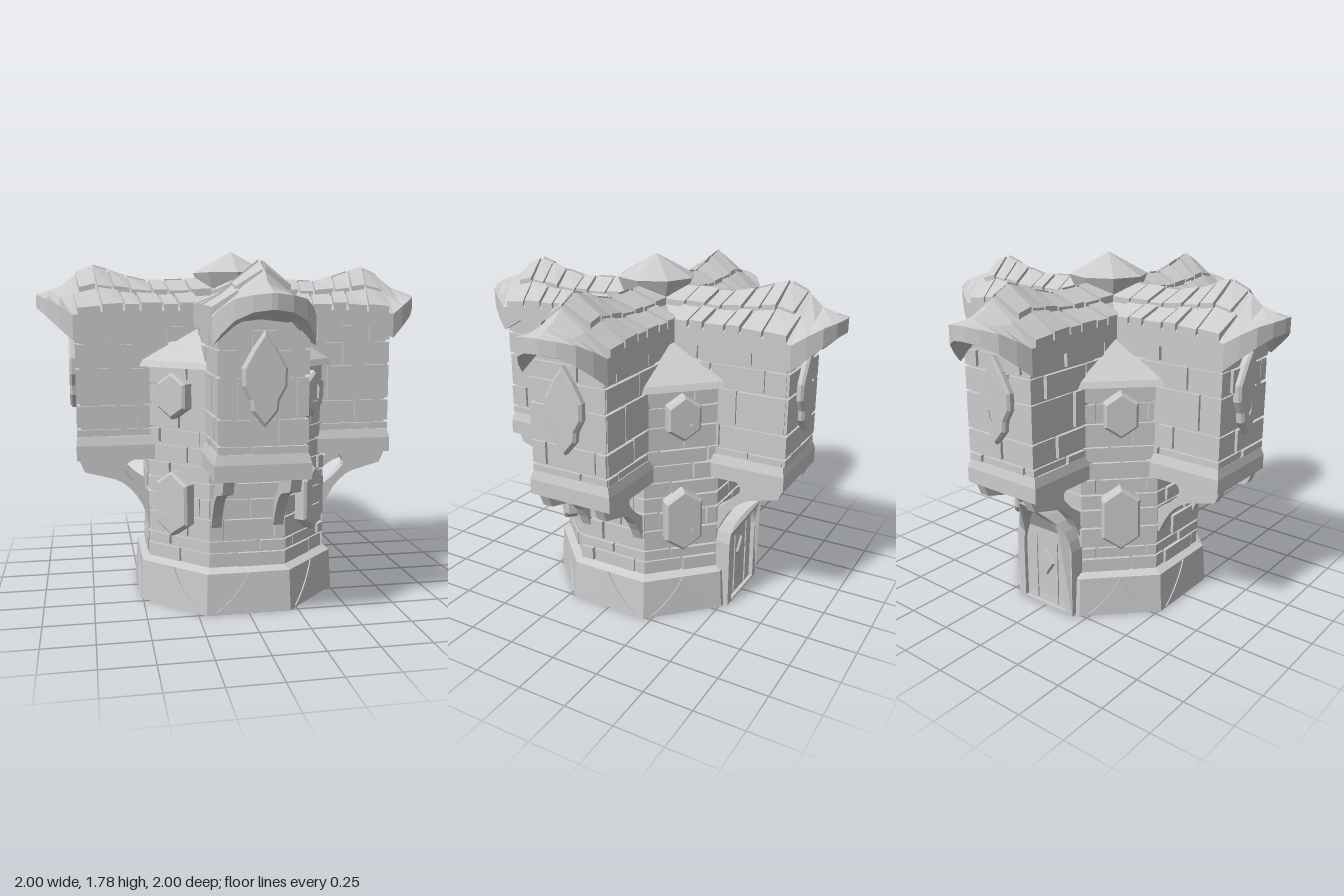
import * as THREE from 'three';
import { mergeGeometries } from 'three/addons/utils/BufferGeometryUtils.js';

const stone = new THREE.MeshStandardMaterial({ color: 0xcccccc, flatShading: true });
const lerp = THREE.MathUtils.lerp;
const CORNER = 1 / Math.cos(Math.PI / 8); // octagon apothem -> radius

// Move every vertex of a geometry by a rule, then make it faceted.
function warp(geo, rule) {
  const g = geo.index ? geo.toNonIndexed() : geo;
  const p = g.attributes.position, v = new THREE.Vector3();
  for (let i = 0; i < p.count; i++) {
    rule(v.fromBufferAttribute(p, i));
    p.setXYZ(i, v.x, v.y, v.z);
  }
  g.computeVertexNormals();
  return g;
}
function add(parent, name, geo) {
  const m = new THREE.Mesh(geo, stone);
  m.name = name;
  parent.add(m);
  return m;
}
const block = (x0, x1, y0, y1, z0, z1) =>
  new THREE.BoxGeometry(x1 - x0, y1 - y0, z1 - z0).translate((x0 + x1) / 2, (y0 + y1) / 2, (z0 + z1) / 2);
function octagon(bottom, top, y0, y1) {
  return new THREE.CylinderGeometry(top * CORNER, bottom * CORNER, y1 - y0, 8)
    .rotateY(Math.PI / 8).translate(0, (y0 + y1) / 2, 0);
}
const extrude = (shape, depth, bevel = 0) => new THREE.ExtrudeGeometry(shape, {
  depth, curveSegments: 6, bevelEnabled: bevel > 0, bevelSize: bevel, bevelThickness: bevel, bevelSegments: 1, bevelOffset: -bevel });

// Courses of bricks between x0 and x1 with the outer face at z; seed shifts the joints.
function bricks(x0, x1, rows, z, size, seed, mitre) {
  const list = [], gap = 0.006;
  for (let r = 0; r + 1 < rows.length; r++) {
    const cuts = [x0];
    let x = x0 + size * [0.55, 1, 0.3, 0.8][(r + seed) % 4];
    for (; x < x1 - 0.05; x += size) cuts.push(x);
    cuts.push(x1);
    for (let i = 0; i + 1 < cuts.length; i++) {
      const out = z + 0.004 * ((r * 3 + i * 2 + seed) % 3 - 1);
      const a = cuts[i] + (i ? gap : 0), b = cuts[i + 1] - (i + 2 < cuts.length ? gap : 0);
      const g = block(a, b, rows[r] + gap, rows[r + 1] - gap, z - 0.03, out);
      list.push(warp(g, v => { if (mitre) v.x *= v.z / z; }));
    }
  }
  return mergeGeometries(list);
}

// Frame with a hole around a recessed pane, built on the +z side.
function windowUnit(parent, name, half, y, z, depth, inner) {
  const pts = [...half, ...half.slice(1, -1).reverse().map(([px, py]) => [-px, py])].map(p => new THREE.Vector2(...p));
  const shape = new THREE.Shape(pts);
  const hole = pts.map(p => p.clone().multiplyScalar(inner));
  shape.holes.push(new THREE.Path(hole));
  const g = new THREE.Group();
  g.name = name;
  add(g, 'windowFrame', extrude(shape, depth, 0.012));
  add(g, 'windowPane', extrude(new THREE.Shape(hole.map(p => p.clone().multiplyScalar(1.05))), 0.02));
  g.position.set(0, y, z);
  parent.add(g);
}

// Roof sections along an arm: z, half width, eave bottom, eave top, ridge, underside
const ROOF = [
  [0, 0.23, 1.4, 1.48, 1.64, 1.4], [0.2, 0.23, 1.4, 1.48, 1.63, 1.4], [0.45, 0.23, 1.4, 1.48, 1.62, 1.4],
  [0.57, 0.23, 1.4, 1.48, 1.65, 1.4], [0.71, 0.23, 1.4, 1.47, 1.7, 1.4], [0.82, 0.23, 1.335, 1.46, 1.65, 1.46],
  [0.88, 0.2, 1.39, 1.5, 1.6, 1.47], [0.94, 0.155, 1.445, 1.535, 1.58, 1.48], [0.98, 0.085, 1.48, 1.55, 1.565, 1.49],
  [1, 0.012, 1.49, 1.558, 1.56, 1.493]];

function roofAt(z) {
  let i = 0;
  while (i < ROOF.length - 2 && ROOF[i + 1][0] < z) i++;
  const t = (z - ROOF[i][0]) / (ROOF[i + 1][0] - ROOF[i][0]);
  return ROOF[i].map((a, k) => lerp(a, ROOF[i + 1][k], t));
}

function roofShell() {
  const pos = [], index = [], n = 10;
  for (const [z, w, e0, e1, h, u] of ROOF) {
    const m = lerp(e1, h, 0.5);
    const right = [[w, e0], [w, e1], [w * 0.52, m]];
    const left = right.map(([x, y]) => [-x, y]).reverse();
    for (const [x, y] of [...right, [0, h], ...left, [-w * 0.55, Math.max(u - 0.015, e0)], [0, u], [w * 0.55, Math.max(u - 0.015, e0)]]) pos.push(x, y, z);
  }
  for (let k = 0; k + 1 < ROOF.length; k++) for (let i = 0; i < n; i++) {
    const a = k * n + i, b = k * n + (i + 1) % n;
    index.push(a, b, b + n, a, b + n, a + n);
  }
  const end = (ROOF.length - 1) * n;
  for (let i = 1; i < n - 1; i++) index.push(end, end + i, end + i + 1);
  const g = new THREE.BufferGeometry();
  g.setAttribute('position', new THREE.Float32BufferAttribute(pos, 3));
  g.setIndex(index);
  return warp(g, () => {});
}

// Two rows of slabs lying on each slope, each raised at its lower edge
function roofTiles() {
  const list = [];
  const rows = [[0, 0.5, [0.2, 0.31, 0.39, 0.5, 0.58, 0.69, 0.81]], [0.46, 0.97, [0.1, 0.24, 0.35, 0.43, 0.54, 0.63, 0.71, 0.8]]];
  for (const s of [-1, 1]) for (const [u0, u1, cuts] of rows) for (let i = 0; i + 1 < cuts.length; i++) {
    const lift = 0.006 * ((i + (s > 0 ? 1 : 0)) % 2);
    list.push(warp(new THREE.BoxGeometry(1, 1, 1), v => {
      const f = s > 0 ? 0.5 - v.x : 0.5 + v.x, u = lerp(u0, u1, f);
      const z = lerp(cuts[i] + 0.006, cuts[i + 1] - 0.006, v.z + 0.5) + 0.02 * (f - 0.5);
      const [, w, , e1, h] = roofAt(z);
      v.set(s * w * (1 - u), lerp(e1, h, u) + (v.y > 0 ? 0.012 + lift + 0.02 * (1 - f) : -0.015), z);
    }));
  }
  return mergeGeometries(list);
}

function bracketGeometry() {
  const s = new THREE.Shape();
  s.moveTo(0.43, 0.42);
  s.lineTo(0.465, 0.43);
  s.quadraticCurveTo(0.54, 0.62, 0.67, 0.64);
  s.lineTo(0.78, 0.67);
  s.lineTo(0.81, 0.74);
  s.lineTo(0.48, 0.74);
  s.quadraticCurveTo(0.6, 0.72, 0.575, 0.66);
  s.quadraticCurveTo(0.52, 0.59, 0.43, 0.54);
  return extrude(s, 0.05).rotateY(-Math.PI / 2).translate(0.025, 0, 0);
}

function createArm(seed) {
  const arm = new THREE.Group();
  arm.name = 'arm';
  const rows = [0.85, 0.895, 1.015, 1.2, 1.32, 1.405];
  add(arm, 'armCore', block(-0.19, 0.19, 0.74, 1.48, 0, 0.795));
  add(arm, 'endBricks', bricks(-0.205, 0.205, rows, 0.81, 0.27, seed));
  for (const s of [-1, 1]) {
    const g = s > 0 ? bricks(-0.8, -0.19, rows, 0.205, 0.28, seed + 1) : bricks(0.19, 0.8, rows, 0.205, 0.28, seed + 2);
    add(arm, 'sideBricks', g.rotateY(s * Math.PI / 2));
    const bracket = add(arm, 'bracket', bracketGeometry());
    bracket.position.x = s * 0.155;
  }
  // Ledge under the walls with a sloping top
  add(arm, 'ledge', block(-0.222, 0.222, 0.735, 0.81, 0, 0.818));
  add(arm, 'ledgeSlope', warp(block(-0.222, 0.222, 0.81, 0.855, 0, 0.818), v => {
    if (v.y > 0.83) { v.x *= 0.94; if (v.z > 0) v.z -= 0.012; }
  }));
  add(arm, 'roof', roofShell());
  add(arm, 'roofTiles', roofTiles());
  windowUnit(arm, 'armWindow', [[0, 0.21], [0.05, 0.14], [0.1, 0.05], [0.1, -0.03], [0.066, -0.09], [0.06, -0.14], [0, -0.21]], 1.19, 0.808, 0.025, 0.62);
  return arm;
}

function archShape(w, y0, spring, tip) {
  const s = new THREE.Shape();
  s.moveTo(-w, y0);
  s.lineTo(w, y0);
  s.lineTo(w, spring);
  s.quadraticCurveTo(w * 0.85, lerp(spring, tip, 0.6), 0, tip);
  s.quadraticCurveTo(-w * 0.85, lerp(spring, tip, 0.6), -w, spring);
  return s;
}

// Pointed door whose top leans outward
function createDoor() {
  const door = new THREE.Group();
  door.name = 'door';
  const lean = v => { v.z += 2.9 * Math.max(0, v.y - 0.4) ** 2; };
  const frame = archShape(0.185, 0, 0.36, 0.64);
  frame.holes.push(archShape(0.14, 0.012, 0.34, 0.56));
  add(door, 'doorFrame', warp(extrude(frame, 0.09).translate(0, 0, 0.445), lean));
  add(door, 'doorPanel', warp(extrude(archShape(0.15, 0.005, 0.34, 0.575), 0.07).translate(0, 0, 0.443), lean));
  const diamond = new THREE.CylinderGeometry(0.045, 0.055, 0.012, 4).rotateX(Math.PI / 2).scale(1, 1.5, 1);
  add(door, 'doorStud', diamond.translate(0, 0.25, 0.519));
  for (const x of [-0.07, 0.07]) add(door, 'doorPlank', block(x - 0.006, x + 0.006, 0.02, 0.38, 0.51, 0.52));
  door.rotation.y = Math.PI;
  return door;
}

export function createModel() {
  const model = new THREE.Group();
  model.name = 'tower';

  // Hollow octagonal foot
  const foot = [[0.455, 0.21], [0.475, 0], [0.51, 0], [0.497, 0.205], [0.45, 0.225]].map(([r, y]) => new THREE.Vector2(r * CORNER, y));
  add(model, 'foot', warp(new THREE.LatheGeometry(foot, 8).rotateY(Math.PI / 8), () => {}));
  add(model, 'towerCore', octagon(0.445, 0.445, 0.2, 1.23));

  const rows = [0.22, 0.3, 0.36, 0.47, 0.57, 0.65, 0.73, 0.82, 0.9, 1.02, 1.12, 1.21];
  const leaf = new THREE.Shape();
  leaf.moveTo(-0.17, 0.01);
  leaf.lineTo(0.17, 0.01);
  leaf.quadraticCurveTo(0.06, 0.08, 0, 0.205);
  leaf.quadraticCurveTo(-0.06, 0.08, -0.17, 0.01);
  for (let i = 0; i < 8; i++) {
    const side = new THREE.Group();
    side.name = 'towerSide';
    add(side, 'towerBricks', bricks(-0.1905, 0.1905, rows, 0.46, 0.25, i, true));
    const panel = add(side, 'footPanel', extrude(leaf, 0.02));
    panel.position.z = 0.496;
    panel.rotation.x = -0.06;
    if (i % 2) {
      windowUnit(side, 'upperWindow', [[0, 0.115], [0.083, 0.06], [0.083, -0.06], [0, -0.115]], 1.07, 0.455, 0.05, 0.6);
      windowUnit(side, 'lowerWindow', [[0, 0.165], [0.095, 0.1], [0.095, -0.1], [0, -0.165]], 0.535, 0.455, 0.055, 0.62);
    }
    side.rotation.y = i * Math.PI / 4;
    model.add(side);
  }

  // Stepped roof showing between the arms
  add(model, 'cornerEave', octagon(0.5, 0.485, 1.205, 1.235));
  add(model, 'cornerTiles', octagon(0.485, 0.42, 1.235, 1.29));
  add(model, 'cornerRoof', octagon(0.43, 0.27, 1.28, 1.41));

  for (let i = 0; i < 4; i++) {
    const arm = createArm(i);
    arm.rotation.y = i * Math.PI / 2;
    model.add(arm);
  }

  // Faceted cap over the crossing
  add(model, 'roofCap', new THREE.ConeGeometry(0.2, 0.11, 8).translate(0, 1.725, 0));
  add(model, 'roofCapBase', new THREE.CylinderGeometry(0.2, 0.16, 0.1, 8).translate(0, 1.62, 0));
  model.add(createDoor());
  return model;
}
